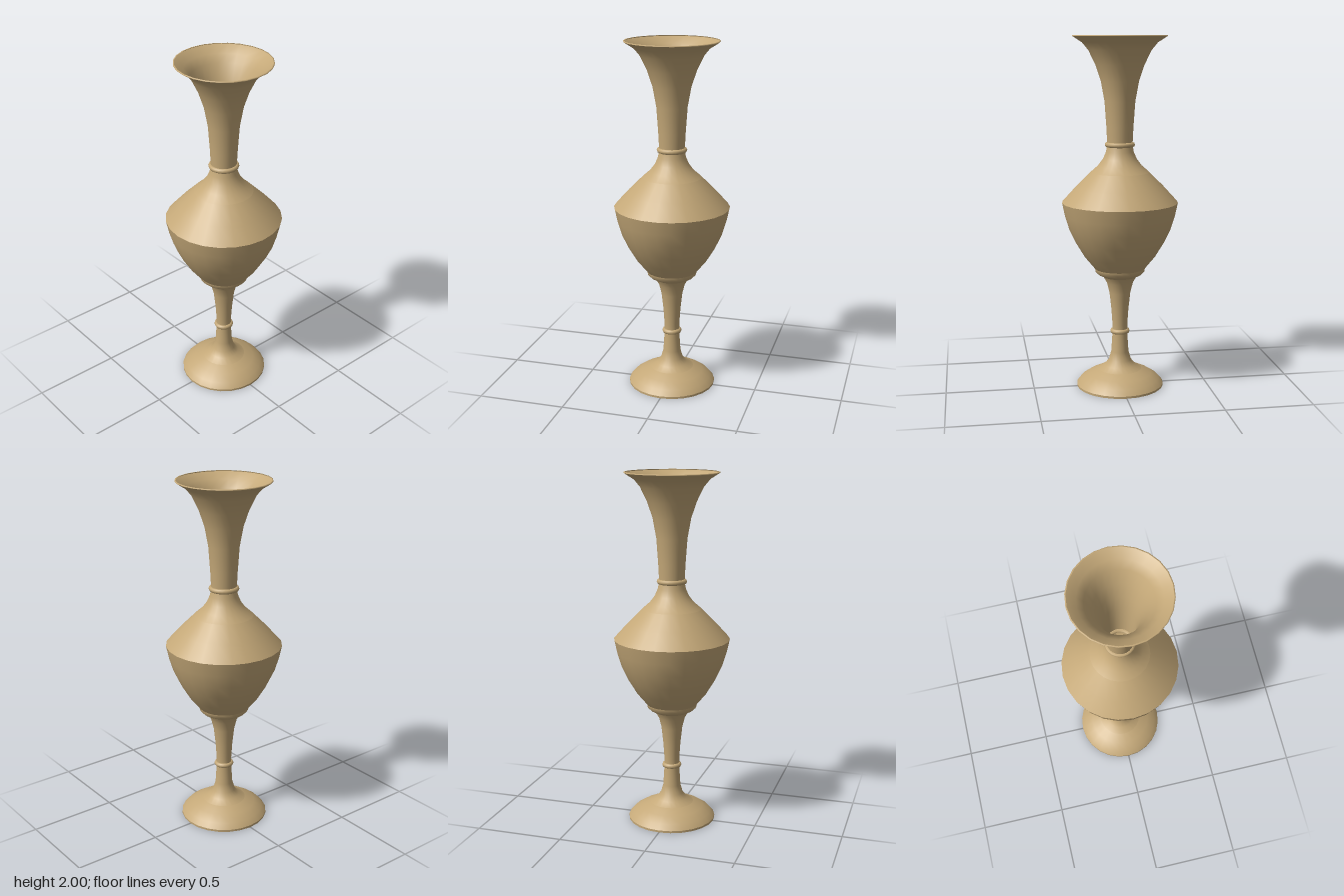
import * as THREE from 'three';

const SIDES = 24;

export function createModel() {
  const vase = new THREE.Group();
  vase.name = 'vase';
  const brass = new THREE.MeshStandardMaterial({ color: 0xc4a878, side: THREE.DoubleSide });
  brass.name = 'pale brass';

  const add = (name, geometry, y = 0) => {
    const mesh = new THREE.Mesh(geometry, brass);
    mesh.name = name;
    mesh.position.y = y;
    vase.add(mesh);
    return mesh;
  };
  // Each section is turned on its own, so the joins stay crisp.
  const turn = (name, profile) =>
    add(name, new THREE.LatheGeometry(profile.map(([r, y]) => new THREE.Vector2(r, y)), SIDES));

  // Foot
  add('footUnderside', new THREE.CircleGeometry(0.25, SIDES).rotateX(Math.PI / 2), 0.003);
  turn('footRim', [[0.25, 0], [0.25, 0.012]]);
  turn('foot', [[0.25, 0.012], [0.225, 0.042], [0.18, 0.072], [0.125, 0.098]]);

  // Stem flaring up into the bowl collar
  turn('stem', [
    [0.125, 0.098], [0.088, 0.12], [0.064, 0.15], [0.05, 0.2], [0.043, 0.31],
    [0.043, 0.36], [0.049, 0.45], [0.06, 0.55], [0.075, 0.61], [0.095, 0.645],
  ]);
  turn('bowlCollar', [[0.095, 0.645], [0.125, 0.66], [0.14, 0.675], [0.143, 0.693]]);

  // Bowl and sloping shoulder
  turn('bowl', [
    [0.143, 0.693], [0.2, 0.762], [0.25, 0.845], [0.288, 0.925], [0.311, 1.0], [0.327, 1.075],
  ]);
  turn('shoulder', [[0.327, 1.075], [0.25, 1.16], [0.165, 1.245]]);
  turn('shoulderTop', [[0.165, 1.245], [0.125, 1.28], [0.095, 1.32], [0.078, 1.36], [0.071, 1.4]]);

  // Flared neck with a thin lip
  turn('neck', [
    [0.071, 1.4], [0.076, 1.5], [0.086, 1.64], [0.106, 1.75], [0.136, 1.84],
    [0.175, 1.92], [0.21, 1.962], [0.262, 1.995],
  ]);
  turn('lip', [[0.262, 1.995], [0.262, 2], [0.256, 2]]);

  // Bead rings on stem and neck
  for (const [name, radius, y] of [['stemRing', 0.042, 0.322], ['neckRing', 0.071, 1.4]]) {
    add(name, new THREE.TorusGeometry(radius, 0.014, 8, SIDES).rotateX(Math.PI / 2), y);
  }
  return vase;
}
